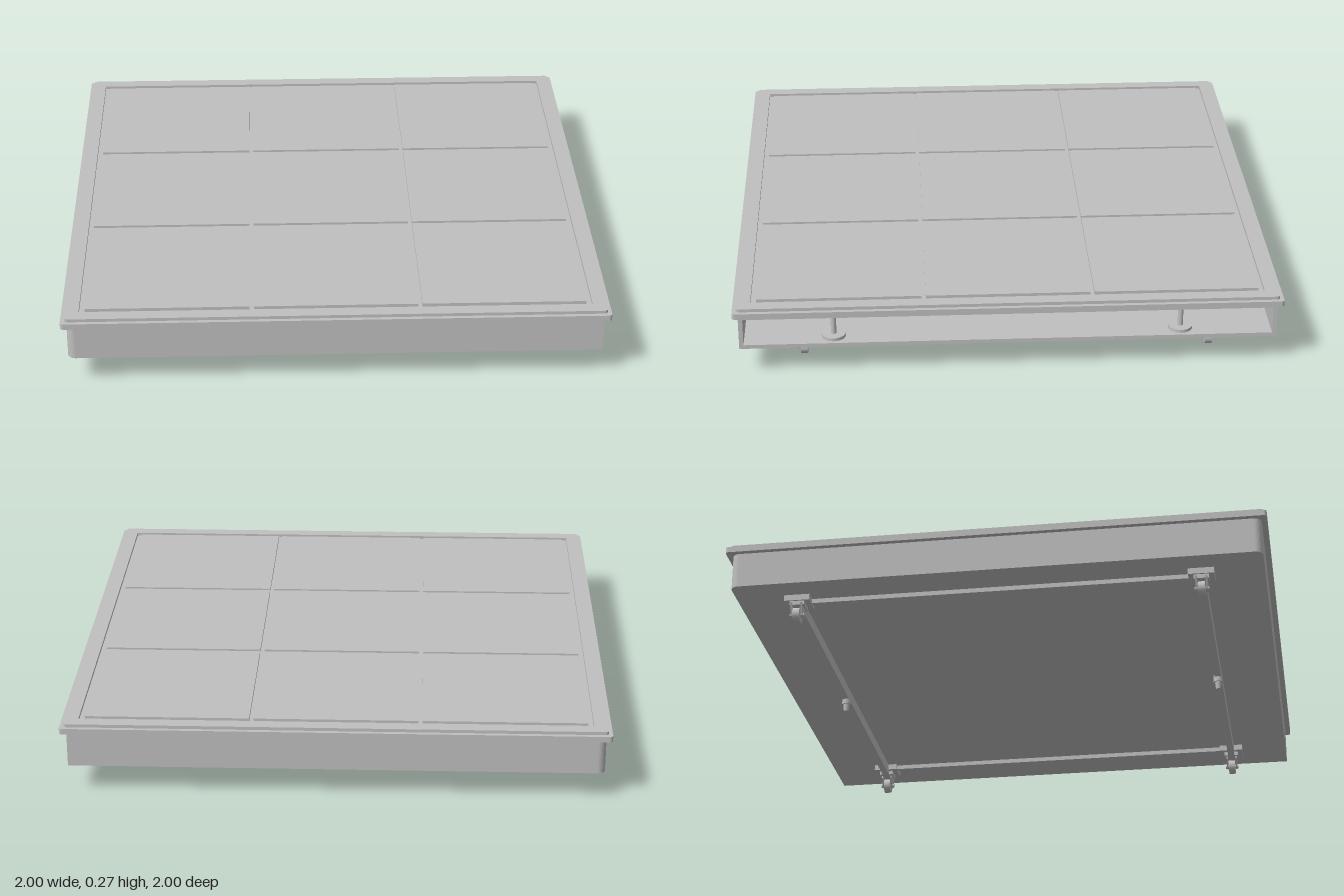
import * as THREE from 'three';

const metal = new THREE.MeshStandardMaterial({ color: 0xc0c0c0 });
metal.name = 'light grey';

// Plan outline with separate corner radii for the -x and +x ends
function outline(path, x0, x1, z0, z1, rl, rr) {
  path.moveTo(x0 + rl, z0);
  path.lineTo(x1 - rr, z0);
  if (rr) path.absarc(x1 - rr, z0 + rr, rr, -Math.PI / 2, 0);
  path.lineTo(x1, z1 - rr);
  if (rr) path.absarc(x1 - rr, z1 - rr, rr, 0, Math.PI / 2);
  path.lineTo(x0 + rl, z1);
  if (rl) path.absarc(x0 + rl, z1 - rl, rl, Math.PI / 2, Math.PI);
  path.lineTo(x0, z0 + rl);
  if (rl) path.absarc(x0 + rl, z0 + rl, rl, Math.PI, Math.PI * 1.5);
  return path;
}

export function createModel() {
  const model = new THREE.Group();

  const add = (name, geometry, x = 0, y = 0, z = 0, parent = model) => {
    const mesh = new THREE.Mesh(geometry, metal);
    mesh.name = name;
    mesh.position.set(x, y, z);
    parent.add(mesh);
    return mesh;
  };
  const box = (name, x0, x1, y0, y1, z0, z1, parent) =>
    add(name, new THREE.BoxGeometry(x1 - x0, y1 - y0, z1 - z0),
      (x0 + x1) / 2, (y0 + y1) / 2, (z0 + z1) / 2, parent);
  const plate = (name, shape, y0, y1) => {
    const g = new THREE.ExtrudeGeometry(shape, { depth: y1 - y0, bevelEnabled: false, curveSegments: 5 });
    g.rotateX(-Math.PI / 2);
    return add(name, g, 0, y0, 0);
  };

  // Hollow body, open at the +x end
  const X0 = -0.98, X1 = 0.975, Z = 0.98, T = 0.016;
  const full = () => outline(new THREE.Shape(), X0, X1, -Z, Z, 0.03, 0);
  plate('bodyFloor', full(), 0.105, 0.12);
  plate('bodyCeiling', full(), 0.224, 0.24);
  const wall = new THREE.Shape();
  wall.moveTo(X1, Z);
  wall.lineTo(X0 + 0.03, Z);
  wall.absarc(X0 + 0.03, Z - 0.03, 0.03, Math.PI / 2, Math.PI);
  wall.lineTo(X0, -Z + 0.03);
  wall.absarc(X0 + 0.03, -Z + 0.03, 0.03, Math.PI, Math.PI * 1.5);
  wall.lineTo(X1, -Z);
  wall.lineTo(X1, -Z + T);
  wall.lineTo(X0 + T, -Z + T);
  wall.lineTo(X0 + T, Z - T);
  wall.lineTo(X1, Z - T);
  plate('bodyWalls', wall, 0.12, 0.224);

  // Posts standing inside the opening
  for (const z of [-0.632, 0.638]) {
    add('openingPost', new THREE.CylinderGeometry(0.01, 0.01, 0.104, 12), 0.92, 0.172, z);
    add('postFoot', new THREE.CylinderGeometry(0.044, 0.044, 0.012, 20), 0.92, 0.127, z);
  }

  // Top slab with a raised border and nine tiles separated by grooves
  plate('topSlab', outline(new THREE.Shape(), -1, 1, -1, 1, 0.012, 0.012), 0.24, 0.262);
  const border = outline(new THREE.Shape(), -0.985, 0.985, -0.985, 0.985, 0.012, 0.012);
  border.holes.push(outline(new THREE.Path(), -0.935, 0.935, -0.935, 0.935, 0, 0));
  plate('topBorder', border, 0.262, 0.274);
  const pitch = 0.615, half = 0.3;
  for (let i = -1; i <= 1; i++) {
    for (let j = -1; j <= 1; j++) {
      box('topTile', i * pitch - half, i * pitch + half, 0.262, 0.274,
        j * pitch - half, j * pitch + half);
    }
  }

  // Underframe rails, centred slightly off the slab
  const CX = -0.018;
  for (const s of [-1, 1]) {
    const z = s * 0.75;
    box('crossRail', CX - 0.8, CX + 0.8, 0.062, 0.105, z - 0.013, z + 0.013);
    box('sideRail', CX + s * 0.81 - 0.012, CX + s * 0.81 + 0.012, 0.088, 0.105, -0.72, 0.72);
    add('middleCollar', new THREE.CylinderGeometry(0.018, 0.018, 0.03, 12), CX, 0.058, z);
    add('middleLeg', new THREE.CylinderGeometry(0.014, 0.01, 0.045, 12), CX, 0.036, z);
  }

  // Castors: plate, neck, slanted fork cheeks and wheel
  const cheek = new THREE.Shape();
  cheek.moveTo(-0.03, 0.07);
  cheek.lineTo(0.032, 0.07);
  cheek.lineTo(0.034, 0.055);
  cheek.lineTo(0.01, 0.022);
  cheek.lineTo(-0.012, 0.024);
  const cheekGeometry = new THREE.ExtrudeGeometry(cheek, { depth: 0.006, bevelEnabled: false });
  for (const sx of [-1, 1]) {
    for (const sz of [-1, 1]) {
      const castor = new THREE.Group();
      castor.name = 'castor';
      castor.position.set(CX + sx * 0.843, 0, sz * 0.75);
      // Turned half round on the -x side so the wheels trail outwards
      if (sx > 0) castor.rotation.y = Math.PI;
      model.add(castor);
      box('mountPlate', -0.024, 0.062, 0.082, 0.105, -0.048, 0.048, castor);
      box('neck', -0.018, 0.045, 0.066, 0.084, -0.028, 0.028, castor);
      add('forkCheek', cheekGeometry, 0, 0, 0.016, castor);
      add('forkCheek', cheekGeometry, 0, 0, -0.022, castor);
      const wheel = new THREE.CylinderGeometry(0.029, 0.029, 0.026, 24).rotateX(Math.PI / 2);
      add('wheel', wheel, 0, 0.029, 0, castor);
      const axle = new THREE.CylinderGeometry(0.008, 0.008, 0.054, 12).rotateX(Math.PI / 2);
      add('axle', axle, 0, 0.03, 0, castor);
    }
  }

  return model;
}
